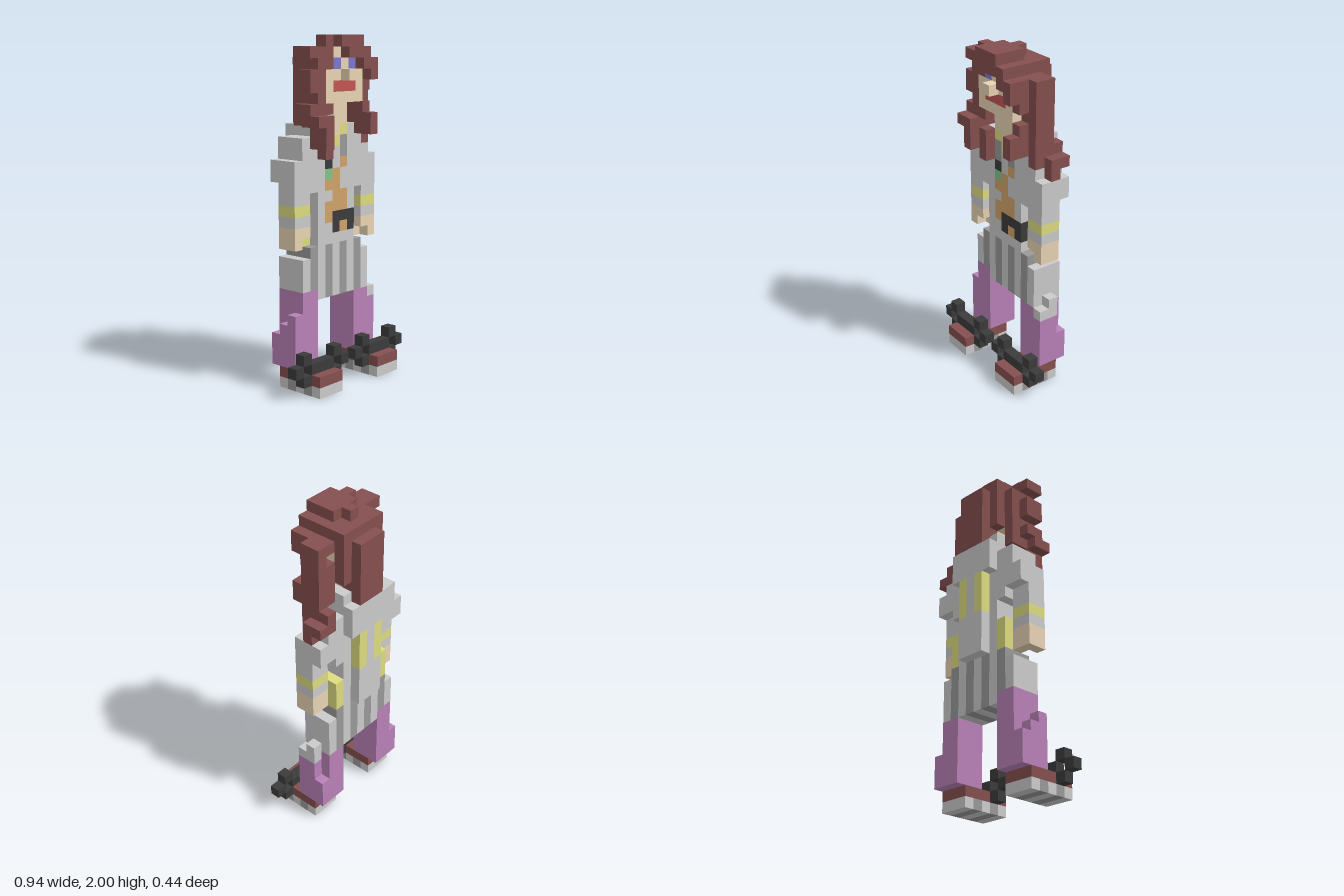
import * as THREE from 'three';

const U = 2 / 32; // one cube
const COL = {
  grey: 0xcccccc, dark: 0x999999, brown: 0x854f4f, skin: 0xe8d4b4, purple: 0xb981b8, black: 0x3b3b3b,
  yellow: 0xdedd80, orange: 0xd1a36a, blue: 0x7a78cc, red: 0xc25555, green: 0x80c48a,
};
const KEY = { g: 'grey', d: 'dark', y: 'yellow', f: 'skin', k: 'black', o: 'orange', n: 'green', b: 'blue', r: 'red' };

// outward direction and the two in-plane axes of each cube face
const FACES = [
  [[1, 0, 0], [0, 1, 0], [0, 0, 1]], [[-1, 0, 0], [0, 0, 1], [0, 1, 0]],
  [[0, 1, 0], [0, 0, 1], [1, 0, 0]], [[0, -1, 0], [1, 0, 0], [0, 0, 1]],
  [[0, 0, 1], [1, 0, 0], [0, 1, 0]], [[0, 0, -1], [0, 1, 0], [1, 0, 0]],
];

export function createModel() {
  const cells = new Map();
  const id = (x, y, z) => `${x},${y},${z}`;

  // fill an inclusive block of cubes; a later block replaces an earlier one, null carves
  function fill(part, color, [x0, x1], [y0, y1], [z0, z1]) {
    for (let x = x0; x <= x1; x++)
      for (let y = y0; y <= y1; y++)
        for (let z = z0; z <= z1; z++) {
          if (color) cells.set(id(x, y, z), { part, color, p: [x, y, z] });
          else cells.delete(id(x, y, z));
        }
  }
  const carve = (x, y, z) => fill(null, null, x, y, z);

  // paint a picture of letters on one layer, top row first
  function paint(part, rows, x0, yTop, z) {
    rows.forEach((row, j) => [...row].forEach((c, i) => {
      if (KEY[c]) fill(part, KEY[c], [x0 + i, x0 + i], [yTop - j, yTop - j], [z, z]);
    }));
  }

  // shoes, striped soles and ankle bones
  for (const x of [2, 10]) {
    for (let z = 2; z <= 6; z++) fill('sole', z % 2 ? 'dark' : 'grey', [x, x + 2], [0, 0], [z, z]);
    fill('shoe', 'brown', [x, x + 2], [1, 1], [2, 6]);
    fill('ankleBone', 'black', [x, x + 2], [2, 2], [5, 5]);
    for (const [end, tip] of [[x - 1, x - 2], [x + 3, x + 4]]) {
      for (const y of [1, 3]) fill('ankleBone', 'black', [end, end], [y, y], [5, 5]);
      fill('ankleBone', 'black', [tip, tip], [2, 2], [5, 5]);
    }
  }

  // legs
  fill('rightLeg', 'purple', [2, 4], [2, 6], [1, 3]);
  fill('rightLeg', 'purple', [3, 4], [7, 8], [1, 3]);
  carve([2, 2], [5, 6], [1, 1]);
  carve([2, 2], [6, 6], [2, 2]);
  fill('leftLeg', 'purple', [10, 12], [2, 6], [1, 3]);
  fill('leftLeg', 'purple', [10, 11], [7, 7], [1, 3]);
  carve([12, 12], [5, 6], [1, 1]);

  // skirt
  for (let x = 4; x <= 10; x++) fill('skirt', x % 2 ? 'grey' : 'dark', [x, x], [x === 4 ? 9 : 8, 12], [1, 3]);
  fill('skirt', 'grey', [3, 3], [9, 11], [1, 3]);
  fill('skirt', 'grey', [11, 11], [8, 11], [1, 3]);
  fill('skirt', 'grey', [12, 12], [7, 7], [2, 3]);
  fill('skirt', 'grey', [12, 12], [8, 8], [2, 2]);

  // torso with shirt, pendant and belt on its front layer
  fill('torso', 'grey', [5, 9], [13, 23], [1, 3]);
  fill('torso', 'grey', [4, 10], [18, 22], [1, 3]);
  paint('shirtFront', ['gyfyg', 'gdydg', 'gdgdg', 'gkgog', 'gnogg', 'googg', 'ggoog', 'gooog', 'gokkk', 'ggkok', 'ggggg'], 5, 23, 3);
  fill('collar', 'grey', [5, 5], [24, 24], [1, 2]);
  fill('collar', 'grey', [9, 9], [24, 24], [1, 2]);

  // back panel with two stripes
  fill('backPanel', 'grey', [6, 8], [13, 23], [0, 0]);
  fill('backPanel', 'grey', [5, 9], [21, 23], [0, 0]);
  for (const x of [6, 8]) fill('backStripe', 'yellow', [x, x], [17, 20], [0, 0]);

  // arms
  for (const [outer, inner, hip] of [[2, 3, 4], [12, 11, 10]]) {
    const w = [Math.min(outer, inner), Math.max(outer, inner)];
    fill('hand', 'skin', w, [13, 14], [2, 3]);
    carve([inner, inner], [13, 13], [3, 3]);
    fill('cuff', 'grey', w, [15, 15], [2, 3]);
    fill('sleeveBand', 'yellow', w, [16, 16], [2, 3]);
    fill('sleeve', 'grey', w, [17, 20], [2, 3]);
    fill('sleeve', 'grey', w, [19, 20], [1, 1]);
    carve([outer, outer], [20, 20], [3, 3]);
    fill('sleeve', 'grey', [outer, outer], [20, 20], [3, 3]);
    fill('shoulder', 'grey', [inner, inner], [21, 22], [1, 3]);
    fill('jacketTail', 'yellow', [hip, hip], [13, 15], [1, 2]);
  }

  // neck and head
  fill('neck', 'skin', [6, 8], [24, 25], [2, 3]);
  fill('head', 'skin', [5, 9], [26, 28], [1, 4]);
  fill('head', 'skin', [6, 8], [29, 30], [1, 4]);
  paint('face', ['b.b', '...', 'rrr'], 6, 29, 4);
  paint('face', ['...', 'rrr'], 6, 28, 4);
  fill('nose', 'skin', [7, 7], [28, 28], [5, 5]);

  // hair: crown and fringe
  const hair = (x, y, z) => fill('hair', 'brown', x, y, z);
  hair([6, 8], [31, 31], [3, 5]);
  hair([7, 7], [31, 31], [2, 2]);
  hair([5, 5], [31, 31], [4, 4]);
  hair([5, 9], [30, 30], [1, 3]);
  hair([3, 5], [30, 30], [3, 4]);
  hair([7, 9], [30, 30], [4, 5]);
  hair([9, 10], [29, 29], [4, 5]);
  hair([10, 10], [28, 28], [4, 5]);
  hair([4, 5], [29, 29], [2, 4]);
  hair([9, 9], [29, 29], [1, 3]);

  // hair: rounded back
  hair([6, 8], [24, 29], [0, 0]);
  hair([5, 9], [26, 29], [1, 1]);
  hair([6, 8], [24, 25], [1, 1]);

  // hair: right locks
  hair([4, 4], [24, 28], [2, 4]);
  hair([3, 3], [27, 28], [3, 4]);
  hair([3, 4], [24, 24], [4, 5]);
  hair([3, 3], [25, 25], [3, 4]);
  hair([5, 5], [25, 25], [3, 4]);
  hair([4, 4], [22, 23], [4, 5]);
  hair([5, 5], [22, 23], [4, 4]);
  hair([5, 5], [21, 21], [4, 4]);

  // hair: left locks
  hair([10, 10], [24, 29], [2, 4]);
  hair([11, 11], [27, 29], [2, 3]);
  hair([11, 11], [23, 26], [2, 3]);
  hair([10, 10], [23, 24], [4, 5]);
  hair([11, 11], [22, 23], [1, 3]);
  hair([12, 12], [22, 22], [1, 2]);
  hair([12, 12], [21, 21], [2, 2]);
  carve([10, 10], [28, 28], [2, 2]);
  carve([10, 10], [26, 26], [4, 4]);

  // gather the exposed cube faces of each part and colour
  const batches = new Map();
  for (const { part, color, p } of cells.values()) {
    const key = `${part}|${color}`;
    if (!batches.has(key)) batches.set(key, []);
    const out = batches.get(key);
    for (const [n, a, b] of FACES) {
      if (cells.has(id(p[0] + n[0], p[1] + n[1], p[2] + n[2]))) continue;
      const corner = (s, t) => [0, 1, 2].map((i) =>
        (p[i] + 0.5 + n[i] / 2 + a[i] * s + b[i] * t - [7.5, 0, 3.5][i]) * U);
      const [c0, c1, c2, c3] = [corner(-0.5, -0.5), corner(0.5, -0.5), corner(0.5, 0.5), corner(-0.5, 0.5)];
      out.push(...c0, ...c1, ...c2, ...c0, ...c2, ...c3);
    }
  }

  const model = new THREE.Group();
  model.name = 'figure';
  for (const [key, pos] of batches) {
    if (!pos.length) continue;
    const [part, color] = key.split('|');
    const geo = new THREE.BufferGeometry();
    geo.setAttribute('position', new THREE.Float32BufferAttribute(pos, 3));
    geo.computeVertexNormals();
    const mesh = new THREE.Mesh(geo, new THREE.MeshStandardMaterial({ color: COL[color] }));
    mesh.name = part;
    model.add(mesh);
  }
  return model;
}
